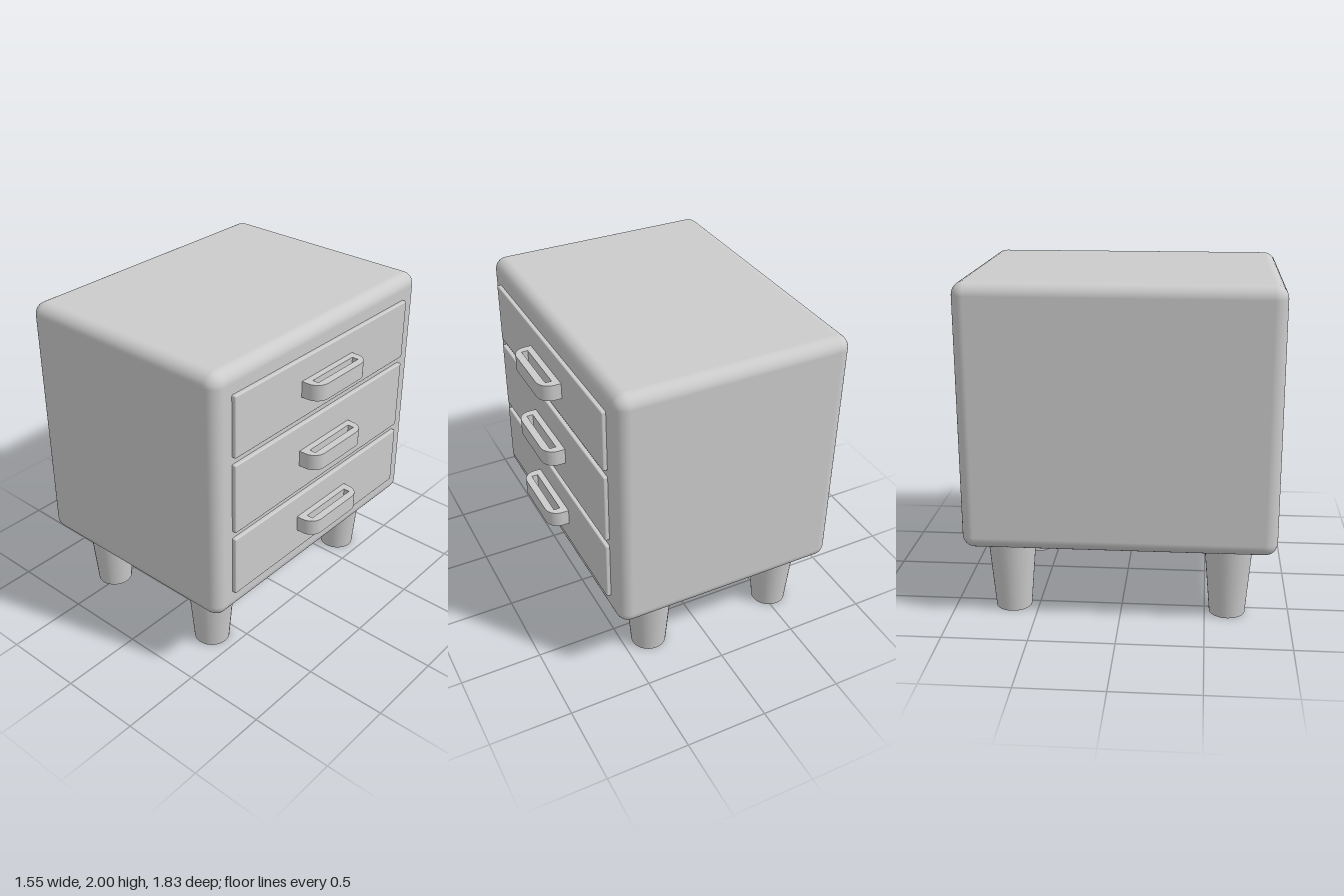
import * as THREE from 'three';
import { RoundedBoxGeometry } from 'three/addons/geometries/RoundedBoxGeometry.js';
import { toCreasedNormals } from 'three/addons/utils/BufferGeometryUtils.js';

const material = new THREE.MeshStandardMaterial({ color: 0xcccccc });

function addPart(parent, name, geometry, x, y, z) {
  const mesh = new THREE.Mesh(geometry, material);
  mesh.name = name;
  mesh.position.set(x, y, z);
  parent.add(mesh);
  return mesh;
}

// Pull handle outline seen from above: rounded outer corners and a slot
function handleGeometry(height) {
  const depth = 0.12, half = 0.23, r = 0.08;
  const shape = new THREE.Shape();
  shape.moveTo(-0.005, -half);
  shape.lineTo(depth - r, -half);
  shape.absarc(depth - r, -half + r, r, -Math.PI / 2, 0);
  shape.absarc(depth - r, half - r, r, 0, Math.PI / 2);
  shape.lineTo(-0.005, half);
  shape.closePath();
  const slot = new THREE.Path();
  slot.moveTo(0.037, -0.183);
  slot.lineTo(0.037, 0.183);
  slot.lineTo(0.075, 0.183);
  slot.lineTo(0.075, -0.183);
  slot.closePath();
  shape.holes.push(slot);
  const geometry = new THREE.ExtrudeGeometry(shape, { depth: height, bevelEnabled: false, curveSegments: 10 });
  geometry.translate(0, 0, -height / 2);
  geometry.rotateX(-Math.PI / 2);
  return toCreasedNormals(geometry, 0.6);
}

export function createModel() {
  const model = new THREE.Group();
  model.name = 'nightstand';

  // Cabinet body
  addPart(model, 'cabinet', new RoundedBoxGeometry(1.405, 1.555, 1.825, 5, 0.075), -0.0725, 1.2225, -0.002);

  // Drawers on the +x side: [bottom, top, handle height]
  const rows = [[1.487, 1.86, 1.675], [1.005, 1.443, 1.228], [0.583, 0.962, 0.773]];
  const handle = handleGeometry(0.098);
  rows.forEach(([bottom, top, handleY]) => {
    const drawer = new THREE.Group();
    drawer.name = 'drawer';
    model.add(drawer);
    addPart(drawer, 'drawerFront', new RoundedBoxGeometry(0.06, top - bottom, 1.552, 2, 0.008), 0.625, (top + bottom) / 2, 0.002);
    addPart(drawer, 'drawerHandle', handle, 0.655, handleY, 0);
  });

  // Tapered legs
  const leg = new THREE.CylinderGeometry(0.147, 0.107, 0.48, 32);
  for (const x of [-0.54, 0.333]) {
    for (const z of [0.635, -0.655]) addPart(model, 'leg', leg, x, 0.24, z);
  }

  return model;
}
